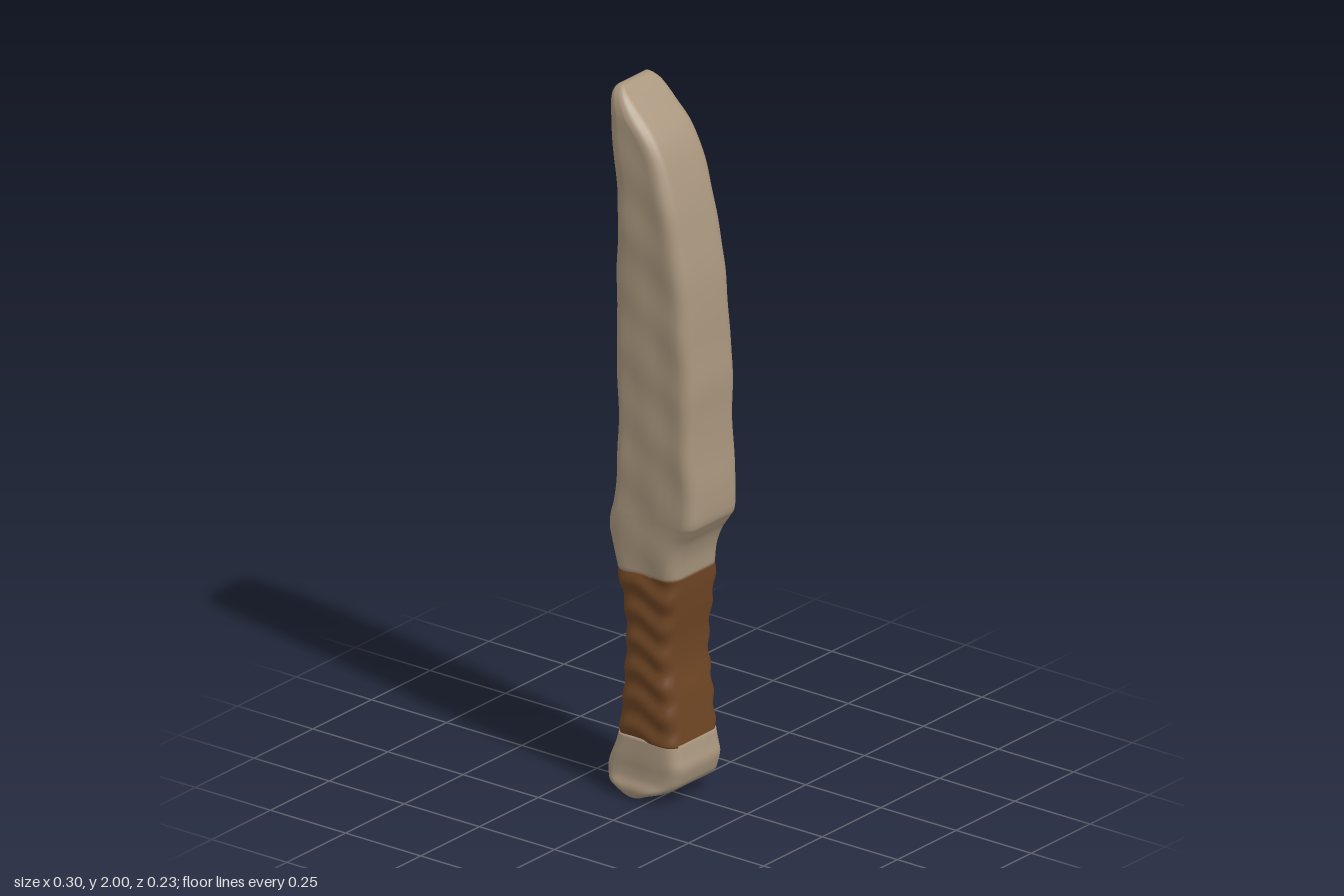
import * as THREE from 'three';

// Rounded-rectangle section, counterclockwise seen from above, with extra points across the broad faces
function section(xl, xr, d) {
  const w = (xr - xl) / 2, cx = (xl + xr) / 2;
  const r = Math.min(0.036, w * 0.7, d * 0.7);
  const pts = [];
  const signs = [[1, -1], [-1, -1], [-1, 1], [1, 1]];
  signs.forEach(([sx, sz], k) => {
    for (let i = 0; i <= 4; i++) {
      const a = (k + i / 4) * Math.PI / 2;
      pts.push([cx + sx * (w - r) + r * Math.cos(a), sz * (d - r) - r * Math.sin(a)]);
    }
    const steps = k % 2 ? 3 : 9;
    for (let i = 1; i < steps; i++) {
      const f = i / steps;
      if (k % 2 === 0) pts.push([cx + sx * (w - r) * (1 - 2 * f), sz * d]);
      else pts.push([cx + sx * w, sz * (d - r) * (1 - 2 * f)]);
    }
  });
  return pts;
}

// Loft through rows of [y, left x, right x, half depth]; relief(x, y, side) scales the depth
function loft(name, rows, steps, relief, material) {
  const left = new THREE.CatmullRomCurve3(rows.map(([y, l, , d]) => new THREE.Vector3(l, y, d)), false, 'catmullrom', 0.5);
  const right = new THREE.CatmullRomCurve3(rows.map(([y, , r]) => new THREE.Vector3(r, y, 0)), false, 'catmullrom', 0.5);
  const pos = [], index = [], caps = [];
  let n = 0;
  for (let i = 0; i <= steps; i++) {
    const a = left.getPoint(i / steps), b = right.getPoint(i / steps);
    const pts = section(a.x, b.x, a.z);
    n = pts.length;
    pts.forEach(([x, z]) => pos.push(x, a.y, z * (1 + relief(x, a.y, Math.sign(z)))));
    if (i === 0 || i === steps) caps.push([(a.x + b.x) / 2, a.y, 0]);
  }
  const bottom = (steps + 1) * n, top = bottom + 1;
  caps.forEach((c) => pos.push(...c));
  for (let j = 0; j < n; j++) {
    const k = (j + 1) % n;
    for (let i = 0; i < steps; i++) {
      const a = i * n + j, b = i * n + k;
      index.push(a, b, b + n, a, b + n, a + n);
    }
    index.push(bottom, k, j, top, steps * n + j, steps * n + k);
  }
  const geo = new THREE.BufferGeometry();
  geo.setAttribute('position', new THREE.Float32BufferAttribute(pos, 3));
  geo.setIndex(index);
  geo.computeVertexNormals();
  const mesh = new THREE.Mesh(geo, material);
  mesh.name = name;
  return mesh;
}

export function createModel() {
  const bone = new THREE.MeshStandardMaterial({ color: 0xa8957d });
  bone.name = 'bone';
  const leather = new THREE.MeshStandardMaterial({ color: 0x6e4524 });
  leather.name = 'leather';

  // Shallow chipped dents on the bone, ridges on the wrap
  const dents = (x, y, s) =>
    0.022 * Math.sin(y * 13 + x * 22 + s) * Math.sin(x * 30 - y * 7 + s * 2) + 0.012 * Math.sin(y * 37 + x * 25 * s);
  const ridges = (x, y, s) => 0.045 * Math.sin(y * 76 + x * 14 * s + 0.8 * Math.sin(x * 40));
  const lumps = (x, y, s) => 0.015 * Math.sin(x * 35 + s);

  const model = new THREE.Group();
  model.name = 'knife';

  model.add(loft('blade', [
    [0.64, -0.118, 0.082, 0.1],
    [0.7, -0.135, 0.09, 0.102],
    [0.75, -0.147, 0.107, 0.103],
    [0.79, -0.142, 0.132, 0.104],
    [0.82, -0.132, 0.146, 0.105],
    [0.9, -0.12, 0.147, 0.105],
    [1.0, -0.116, 0.14, 0.105],
    [1.1, -0.114, 0.137, 0.105],
    [1.2, -0.12, 0.139, 0.105],
    [1.3, -0.12, 0.131, 0.104],
    [1.4, -0.122, 0.124, 0.104],
    [1.5, -0.122, 0.113, 0.104],
    [1.6, -0.117, 0.094, 0.104],
    [1.7, -0.12, 0.072, 0.104],
    [1.8, -0.13, 0.04, 0.104],
    [1.87, -0.138, 0.005, 0.103],
    [1.93, -0.143, -0.045, 0.1],
    [1.97, -0.144, -0.083, 0.088],
    [1.99, -0.14, -0.105, 0.073],
    [2.0, -0.132, -0.118, 0.06],
  ], 95, dents, bone));

  model.add(loft('gripWrap', [
    [0.17, -0.116, 0.085, 0.1],
    [0.21, -0.11, 0.081, 0.102],
    [0.3, -0.1, 0.073, 0.102],
    [0.38, -0.094, 0.062, 0.102],
    [0.46, -0.09, 0.063, 0.102],
    [0.54, -0.097, 0.074, 0.102],
    [0.6, -0.11, 0.081, 0.103],
    [0.645, -0.122, 0.084, 0.103],
  ], 56, ridges, leather));

  model.add(loft('pommel', [
    [0.0, -0.08, -0.035, 0.1],
    [0.012, -0.105, -0.005, 0.11],
    [0.032, -0.134, 0.045, 0.113],
    [0.055, -0.148, 0.08, 0.104],
    [0.08, -0.149, 0.092, 0.102],
    [0.11, -0.138, 0.098, 0.103],
    [0.14, -0.126, 0.092, 0.102],
    [0.175, -0.117, 0.086, 0.1],
  ], 28, lumps, bone));

  return model;
}
